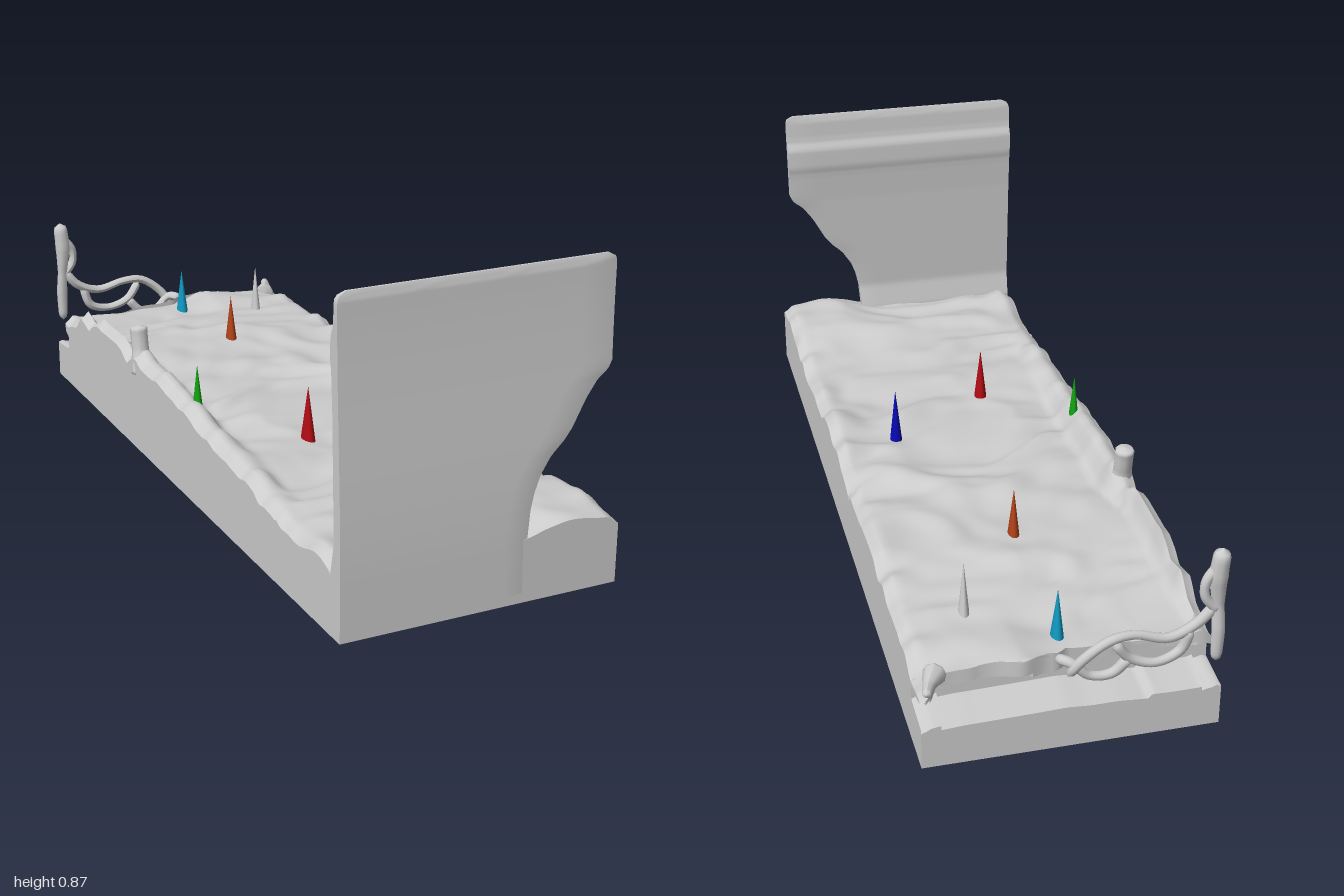
import * as THREE from 'three';
import { toCreasedNormals } from 'three/addons/utils/BufferGeometryUtils.js';

const grey = new THREE.MeshStandardMaterial({ color: 0xcccccc, side: THREE.DoubleSide });
const { lerp, smoothstep, clamp } = THREE.MathUtils;

// Piecewise interpolation through [position, value] pairs in rising order
function along(table, t) {
  if (t <= table[0][0]) return table[0][1];
  for (let i = 1; i < table.length; i++) {
    const [a, va] = table[i - 1], [b, vb] = table[i];
    if (t <= b) return lerp(va, vb, (t - a) / (b - a));
  }
  return table[table.length - 1][1];
}

// Seeded value noise
function hash(i, j) {
  const s = Math.sin(i * 127.1 + j * 311.7) * 43758.5453;
  return s - Math.floor(s);
}
function noise(x, y) {
  const i = Math.floor(x), j = Math.floor(y);
  const u = smoothstep(x - i, 0, 1), v = smoothstep(y - j, 0, 1);
  return lerp(lerp(hash(i, j), hash(i + 1, j), u), lerp(hash(i, j + 1), hash(i + 1, j + 1), u), v) - 0.5;
}

// Unit box whose vertices are moved by a rule
function shapedBox(name, segments, rule, crease) {
  const g = new THREE.BoxGeometry(1, 1, 1, ...segments);
  const p = g.attributes.position;
  for (let i = 0; i < p.count; i++) {
    p.setXYZ(i, ...rule(p.getX(i) + 0.5, p.getY(i) + 0.5, p.getZ(i) + 0.5));
  }
  g.deleteAttribute('normal');
  g.deleteAttribute('uv');
  const mesh = new THREE.Mesh(toCreasedNormals(g, crease), grey);
  mesh.name = name;
  return mesh;
}

// Ground surface: general fall to the back, raised bank on the -x edge
const groundLine = [[-1, 0.205], [-0.85, 0.212], [-0.7, 0.23], [-0.4, 0.242], [0, 0.243], [0.5, 0.24], [1, 0.25]];
const bankLine = [[-0.88, 0.21], [-0.8, 0.24], [-0.75, 0.28], [-0.68, 0.27], [-0.6, 0.3], [-0.4, 0.305], [-0.35, 0.285],
  [-0.3, 0.31], [-0.1, 0.3], [0.1, 0.29], [0.3, 0.27], [0.5, 0.26], [0.65, 0.24]];

function groundHeight(x, z) {
  const wx = x + 0.12 * noise(x * 5 + 9, z * 5), wz = z + 0.16 * noise(x * 4, z * 4 + 20);
  let y = along(groundLine, z);
  // folded relief
  y += 0.026 * noise(wx * 5, wz * 8) + 0.014 * noise(wx * 12 + 4, wz * 18);
  y += 0.016 * (0.3 - Math.abs(noise(wx * 4 + 30, wz * 9 + 7)) * 2);
  const width = lerp(0.05, 0.09, smoothstep(z, -0.45, -0.3));
  const bank = 1 - smoothstep(x, -0.35 + width * 0.4, -0.35 + width);
  y = lerp(y, along(bankLine, z) + 0.015 * noise(z * 25, 3), z < 0.65 ? bank : 0);
  // scalloped +x rim and rounded edges
  y += 0.03 * noise(z * 16, 50) * smoothstep(x, 0.24, 0.34);
  y -= 0.022 * Math.pow(smoothstep(Math.abs(x), 0.315, 0.35), 2);
  return y;
}

const baseHeight = (z) => 0.04 + 0.035 * z;
const lipLine = [[-0.35, -0.9], [0, -0.9], [0.02, -0.92], [0.1, -0.94], [0.2, -0.92], [0.3, -0.925], [0.33, -0.985]];

function buildSlab() {
  return shapedBox('groundSlab', [60, 18, 160], (u, v, w) => {
    const x = lerp(-0.352, 0.352, u), z = lerp(-0.985, 0.995, w);
    const y = lerp(baseHeight(z), groundHeight(x, z), v);
    // undercut above the back ledge, with an overhanging lip on top
    const limit = y < 0.115 ? -0.985 : y < 0.17 ? -0.88 : along(lipLine, x) + 0.02 * noise(x * 18, 8);
    return [x, y, Math.max(z, limit)];
  }, 0.9);
}

// Tall front wall with an eroded +x side
const wallEdge = [[0.1, 0.115], [0.23, 0.112], [0.3, 0.118], [0.34, 0.127], [0.38, 0.142], [0.42, 0.168], [0.45, 0.2],
  [0.475, 0.22], [0.5, 0.234], [0.54, 0.256], [0.58, 0.285], [0.6, 0.312], [0.62, 0.322], [0.87, 0.325]];
const wallInner = [[0.1, 0.95], [0.23, 0.95], [0.3, 0.965], [0.6, 0.953], [0.69, 0.946], [0.71, 0.941], [0.765, 0.941],
  [0.79, 0.953], [0.87, 0.957]];

function buildWall() {
  return shapedBox('frontWall', [16, 90, 4], (u, v, w) => {
    const y = lerp(0.1, 0.868, v);
    const c = clamp((y - 0.843) / 0.025, 0, 1);
    const inset = 0.022 * (1 - Math.sqrt(1 - c * c));
    const x = lerp(-0.353 + inset, along(wallEdge, y) - inset, u);
    const outer = lerp(0.998, 0.972, smoothstep(y, 0.2, 0.87));
    const edge = 0.005 * (1 - smoothstep(Math.min(along(wallEdge, y) - x, 0.868 - y), 0, 0.015));
    return [x, y, lerp(along(wallInner, y) + edge, outer - edge, w)];
  }, 0.9);
}

// Rounded strand whose radius follows [t, radius] pairs
function strand(name, points, radii) {
  const curve = new THREE.CatmullRomCurve3(points.map((p) => new THREE.Vector3(...p)));
  const segments = 28, sides = 9;
  const g = new THREE.TubeGeometry(curve, segments, 1, sides);
  const p = g.attributes.position, v = new THREE.Vector3(), c = new THREE.Vector3();
  for (let i = 0; i < p.count; i++) {
    const t = Math.floor(i / (sides + 1)) / segments;
    curve.getPointAt(t, c);
    const cap = Math.sqrt(Math.max(0, 1 - Math.pow(Math.max(0, Math.abs(t - 0.5) - 0.42) / 0.08, 2)));
    v.fromBufferAttribute(p, i).sub(c).multiplyScalar(along(radii, t) * cap).add(c);
    p.setXYZ(i, v.x, v.y, v.z);
  }
  g.computeVertexNormals();
  const mesh = new THREE.Mesh(g, grey);
  mesh.name = name;
  return mesh;
}

// Remains of the back wall: a ragged post and branching strands
function buildBackRemains() {
  const group = new THREE.Group();
  group.name = 'backWallRemains';
  const post = strand('brokenPost',
    [[-0.335, 0.18, -0.98], [-0.335, 0.26, -0.982], [-0.332, 0.34, -0.978], [-0.328, 0.41, -0.98], [-0.333, 0.485, -0.985]],
    [[0, 0.013], [0.3, 0.016], [0.5, 0.014], [0.75, 0.022], [1, 0.02]]);
  group.add(post);
  const strands = [
    [[-0.33, 0.34, -0.98], [-0.29, 0.29, -0.975], [-0.22, 0.262, -0.98], [-0.14, 0.28, -0.975], [-0.08, 0.275, -0.98], [-0.02, 0.23, -0.975], [0.01, 0.18, -0.96]],
    [[-0.27, 0.28, -0.98], [-0.25, 0.22, -0.975], [-0.19, 0.2, -0.98], [-0.13, 0.22, -0.975], [-0.09, 0.27, -0.98]],
    [[-0.13, 0.22, -0.975], [-0.09, 0.18, -0.97], [-0.04, 0.18, -0.965], [0, 0.215, -0.96], [0.03, 0.215, -0.93]],
    [[-0.33, 0.44, -0.98], [-0.3, 0.4, -0.98], [-0.3, 0.36, -0.98], [-0.33, 0.32, -0.98]],
  ];
  for (const s of strands) group.add(strand('strand', s, [[0, 0.014], [0.5, 0.011], [1, 0.013]]));
  return group;
}

// Oval spikes driven through the slab: x, z, tip height, foot height, half width along z, colour
const spikes = [
  ['redSpike', -0.1, 0.29, 0.378, 0.042, 0.062, 0xb00c14],
  ['blueSpike', 0.18, 0.11, 0.378, 0.042, 0.058, 0x0808b0],
  ['greenSpike', -0.305, 0.06, 0.388, 0.036, 0.058, 0x10a010],
  ['orangeSpike', 0, -0.45, 0.372, 0.022, 0.062, 0xb0421a],
  ['greySpike', 0.19, -0.715, 0.357, 0.025, 0.05, 0xcccccc],
  ['cyanSpike', 0, -0.84, 0.335, 0, 0.064, 0x1098c0],
];

function buildSpike([name, x, z, tip, foot, half, color]) {
  const g = new THREE.ConeGeometry(half, tip - foot, 24);
  const mesh = new THREE.Mesh(g, new THREE.MeshStandardMaterial({ color }));
  mesh.scale.x = 0.62;
  mesh.position.set(x, (tip + foot) / 2, z);
  mesh.name = name;
  return mesh;
}

export function createModel() {
  const model = new THREE.Group();
  model.name = 'ruinedGround';
  model.add(buildSlab(), buildWall(), buildBackRemains());
  // stump rising from the bank
  model.add(strand('bankStump', [[-0.325, 0.24, -0.29], [-0.325, 0.31, -0.31], [-0.325, 0.375, -0.322]],
    [[0, 0.035], [0.5, 0.024], [0.8, 0.024], [1, 0.026]]));
  // small broken tip at the back corner
  model.add(strand('cornerTip', [[0.3, 0.2, -0.9], [0.325, 0.205, -0.95], [0.34, 0.21, -0.992]], [[0, 0.03], [0.6, 0.014], [1, 0.01]]));
  for (const s of spikes) model.add(buildSpike(s));
  return model;
}
